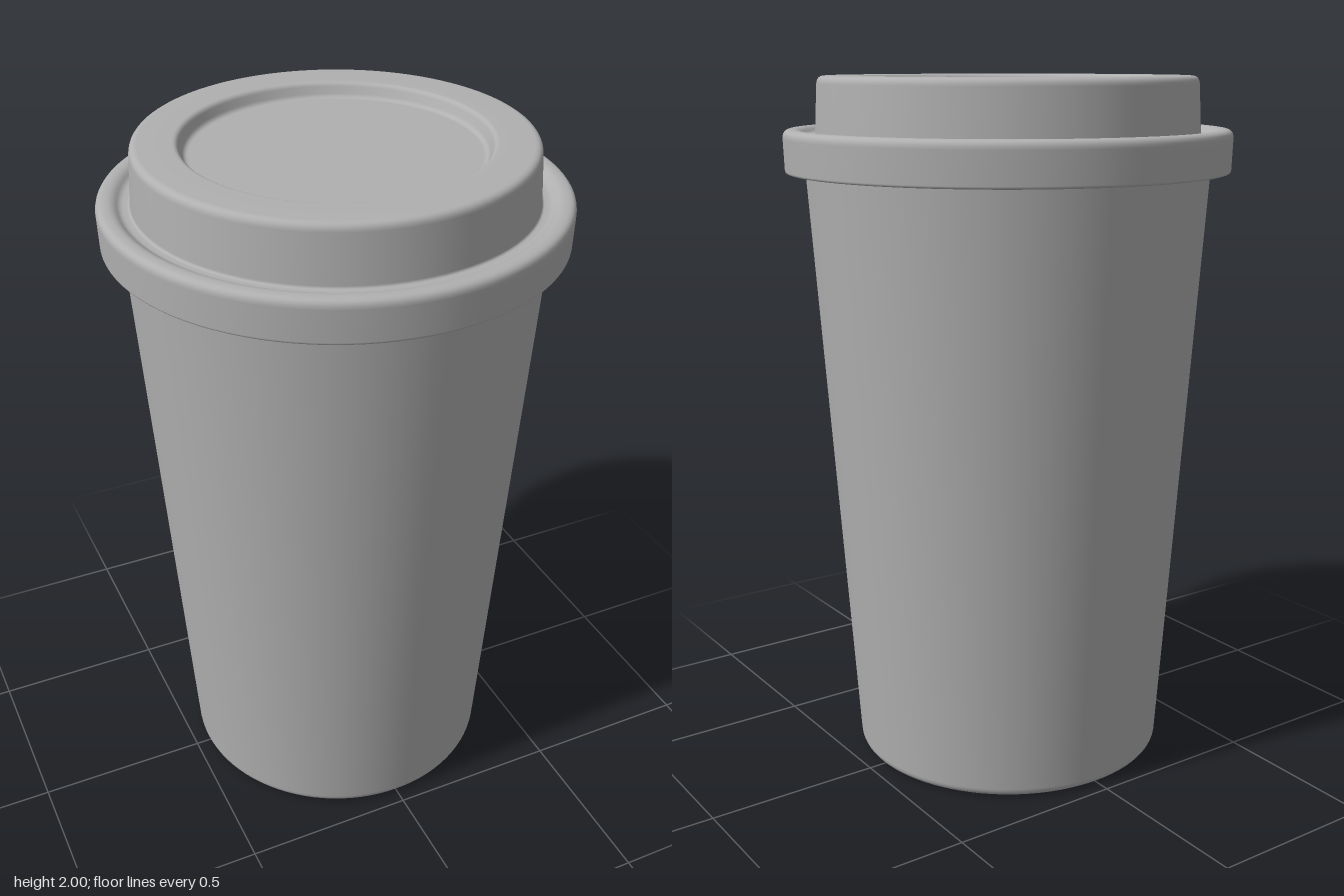
import * as THREE from 'three';

// Lathe a profile of [radius, height, fillet] corners, ordered from the bottom up the outside.
function turned(name, corners, material) {
  const pts = corners.map(([r, y]) => new THREE.Vector2(r, y));
  const path = new THREE.Path();
  path.moveTo(pts[0].x, pts[0].y);
  for (let i = 1; i < pts.length - 1; i++) {
    const p = pts[i], f = corners[i][2];
    const before = pts[i - 1].clone().sub(p).setLength(f).add(p);
    const after = pts[i + 1].clone().sub(p).setLength(f).add(p);
    path.lineTo(before.x, before.y);
    path.quadraticCurveTo(p.x, p.y, after.x, after.y);
  }
  const end = pts[pts.length - 1];
  path.lineTo(end.x, end.y);
  const mesh = new THREE.Mesh(new THREE.LatheGeometry(path.getPoints(6), 96), material);
  mesh.name = name;
  return mesh;
}

export function createModel() {
  const grey = new THREE.MeshStandardMaterial({ color: 0xb0b0b0 });
  grey.name = 'plain grey';
  const group = new THREE.Group();
  group.name = 'lidded cup';

  // Tapered cup with a recessed, funnel-shaped base
  group.add(turned('cupBody', [
    [0, 0.10],
    [0.335, 0.10, 0.006],
    [0.42, 0, 0.015],
    [0.458, 0, 0.025],
    [0.578, 1.78, 0.01],
    [0.55, 1.78],
  ], grey));

  // Lid: clamping rim, shallow gutter, raised drum and sunken top
  group.add(turned('lid', [
    [0.56, 1.737],
    [0.632, 1.735, 0.008],
    [0.636, 1.855, 0.025],
    [0.59, 1.855, 0.015],
    [0.572, 1.838, 0.01],
    [0.545, 1.838, 0.008],
    [0.536, 2, 0.022],
    [0.413, 2, 0.012],
    [0.397, 1.96, 0.012],
    [0, 1.96],
  ], grey));

  return group;
}
